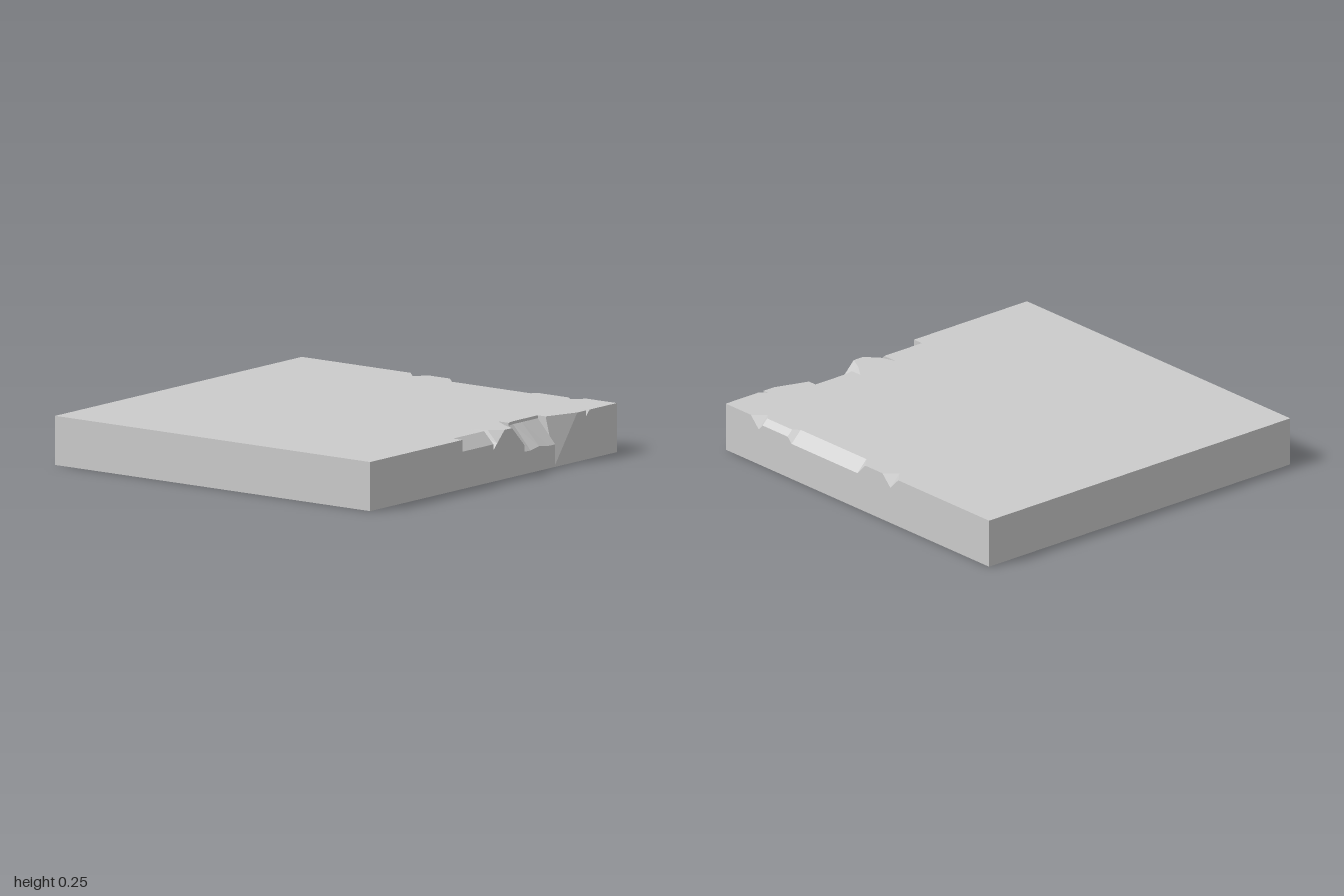
import * as THREE from 'three';

const H = 0.25;         // slab height
const R = 0.75;         // half width of the underside recess
const CEILING = 0.235;  // height of the recess ceiling
const RIB = 0.125;      // height of the rib bottoms

// Chipped edges: [position along edge, depth into top, depth down side, upright lip]
const frontChips = [
  [-0.25, 0, 0], [-0.25, 0.06, 0.06], [0, 0.06, 0.06], [0, 0.145, 0.09],
  [0.03, 0.06, 0.06], [0.09, 0, 0],
  [0.15, 0, 0], [0.19, 0.08, 0.04], [0.25, 0.165, 0.1],
  [0.25, 0.1, 0.135, 0.015], [0.3, 0.11, 0.137, 0.015], [0.37, 0.11, 0.125, 0.015],
  [0.45, 0.11, 0.135, 0.015], [0.5, 0.11, 0.135, 0.015], [0.5, 0.06, 0.24], [0.68, 0, 0],
  [0.75, 0, 0], [0.75, 0.035, 0.03], [0.78, 0, 0],
];
const sideChips = [
  [-0.31, 0, 0], [-0.25, 0.06, 0.06], [-0.19, 0, 0],
  [-0.06, 0, 0], [0, 0.06, 0.06], [0.5, 0.06, 0.06], [0.53, 0.03, 0.03],
  [0.72, 0.03, 0.03], [0.75, 0.06, 0.06], [0.81, 0, 0],
];

const material = new THREE.MeshStandardMaterial({
  color: 0xcccccc, flatShading: true, side: THREE.DoubleSide,
});

function add(group, name, geometry) {
  const mesh = new THREE.Mesh(geometry, material);
  mesh.name = name;
  group.add(mesh);
  return mesh;
}

const shapeOf = (points) => new THREE.Shape(points.map(([x, y]) => new THREE.Vector2(x, y)));

// Broken surface joining the notched top outline to the notched side outline
function chipStrip(sections, place) {
  const rows = sections.map(([p, top, down, lip = 0]) =>
    [place(p, top, 0), place(p, top, lip), place(p, 0, down)]);
  const points = [];
  const triangle = new THREE.Triangle();
  const push = (a, b, c) => {
    if (triangle.set(a, b, c).getArea() > 1e-7) points.push(a, b, c);
  };
  for (let i = 0; i < rows.length - 1; i++) {
    for (let k = 0; k < 2; k++) {
      const a = rows[i][k], b = rows[i][k + 1];
      const c = rows[i + 1][k + 1], d = rows[i + 1][k];
      push(a, b, c);
      push(a, c, d);
    }
  }
  const geometry = new THREE.BufferGeometry().setFromPoints(points);
  geometry.computeVertexNormals();
  return geometry;
}

export function createModel() {
  const model = new THREE.Group();
  model.name = 'chippedFloorTile';
  const sideReversed = [...sideChips].reverse();

  // Top, outlined in x and -z
  const top = shapeOf([
    [-1, -1],
    ...frontChips.map(([p, d]) => [p, d - 1]),
    [1, -1],
    ...sideReversed.map(([p, d]) => [1 - d, -p]),
    [1, 1], [-1, 1],
  ]);
  add(model, 'topFace', new THREE.ShapeGeometry(top).rotateX(-Math.PI / 2).translate(0, H, 0));

  // Front and side walls with notched upper edges
  const front = shapeOf([
    [-1, 0], [1, 0], [1, H],
    ...[...frontChips].reverse().map(([p, , d]) => [p, H - d]),
    [-1, H],
  ]);
  add(model, 'frontWall', new THREE.ShapeGeometry(front).translate(0, 0, 1));
  const side = shapeOf([
    [-1, 0], [1, 0], [1, H],
    ...sideChips.map(([p, , d]) => [-p, H - d]),
    [-1, H],
  ]);
  add(model, 'leftWall', new THREE.ShapeGeometry(side).rotateY(Math.PI / 2).translate(1, 0, 0));

  // Plain walls
  const plain = new THREE.PlaneGeometry(2, H).translate(0, H / 2, 1);
  add(model, 'backWall', plain.clone().rotateY(Math.PI));
  add(model, 'rightWall', plain.clone().rotateY(-Math.PI / 2));

  // Broken edges
  add(model, 'frontChips', chipStrip(frontChips,
    (p, d, h) => new THREE.Vector3(p, H - h, 1 - d)));
  add(model, 'leftChips', chipStrip(sideReversed,
    (p, d, h) => new THREE.Vector3(1 - d, H - h, p)));

  // Underside rim around the square recess
  const rim = shapeOf([[-1, -1], [1, -1], [1, 1], [-1, 1]]);
  rim.holes.push(new THREE.Path([[-R, -R], [-R, R], [R, R], [R, -R]]
    .map(([x, y]) => new THREE.Vector2(x, y))));
  add(model, 'bottomRim', new THREE.ShapeGeometry(rim).rotateX(Math.PI / 2));

  // Recess walls and ceiling
  for (let i = 0; i < 4; i++) {
    add(model, 'recessWall', new THREE.PlaneGeometry(2 * R, CEILING)
      .translate(0, CEILING / 2, -R).rotateY(i * Math.PI / 2));
  }
  add(model, 'recessCeiling', new THREE.PlaneGeometry(2 * R, 2 * R)
    .rotateX(Math.PI / 2).translate(0, CEILING, 0));

  // Thin crossing ribs
  for (let i = -2; i <= 2; i++) {
    const rib = new THREE.PlaneGeometry(2 * R, CEILING - RIB)
      .translate(0, (CEILING + RIB) / 2, i * 0.25);
    add(model, 'crossRib', rib);
    add(model, 'lengthRib', rib.clone().rotateY(Math.PI / 2));
  }
  return model;
}
